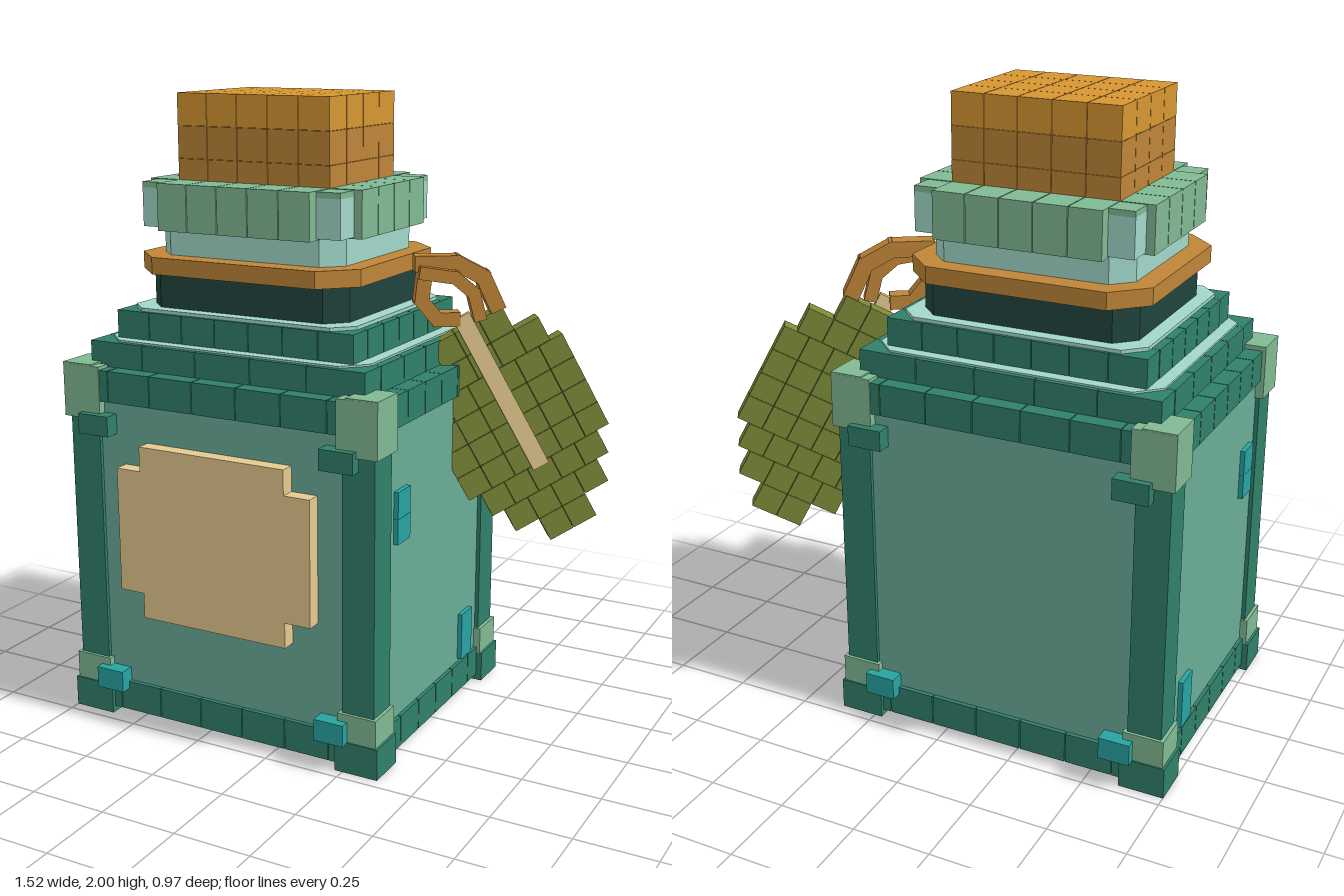
import * as THREE from 'three';

const colours = {
  glass: 0x6aac97, trim: 0x30806a, cap: 0x80b993, paleGlass: 0xa1d7c9, darkBand: 0x21443e,
  teal: 0x27a4a2, cork: 0xd69631, rope: 0xbf8538, label: 0xe5ca90, leaf: 0x7a8937,
};

export function createModel() {
  const model = new THREE.Group();
  model.name = 'corkedBottle';
  const mats = {};
  for (const [name, color] of Object.entries(colours)) {
    mats[name] = new THREE.MeshStandardMaterial({ color, flatShading: true });
    mats[name].name = name;
  }

  const group = (name, parent = model) => {
    const g = new THREE.Group();
    g.name = name;
    parent.add(g);
    return g;
  };
  // Box given by its minimum and maximum corners
  const box = (parent, name, mat, x0, x1, y0, y1, z0, z1) => {
    const mesh = new THREE.Mesh(new THREE.BoxGeometry(x1 - x0, y1 - y0, z1 - z0), mats[mat]);
    mesh.position.set((x0 + x1) / 2, (y0 + y1) / 2, (z0 + z1) / 2);
    mesh.name = name;
    parent.add(mesh);
    return mesh;
  };
  // Rectangular slab with cut corners
  const slab = (parent, name, mat, hx, hz, cut, y0, y1) => {
    const s = new THREE.Shape([
      [hx - cut, -hz], [hx, cut - hz], [hx, hz - cut], [hx - cut, hz],
      [cut - hx, hz], [-hx, hz - cut], [-hx, cut - hz], [cut - hx, -hz],
    ].map(([x, y]) => new THREE.Vector2(x, y)));
    const geo = new THREE.ExtrudeGeometry(s, { depth: y1 - y0, bevelEnabled: false });
    geo.rotateX(-Math.PI / 2);
    const mesh = new THREE.Mesh(geo, mats[mat]);
    mesh.position.y = y0;
    mesh.name = name;
    parent.add(mesh);
  };
  // Ring of blocks around the bottle
  const blockRing = (parent, name, mat, hx, hz, t, y0, y1, nx, nz) => {
    const g = group(name, parent), gap = 0.0015;
    for (const s of [-1, 1]) {
      for (let i = 0; i < nx; i++) {
        const w = 2 * hx / nx, x = -hx + i * w, z = s * (hz - t / 2);
        box(g, name + 'Block', mat, x + gap, x + w - gap, y0, y1, z - t / 2, z + t / 2);
      }
      for (let i = 0; i < nz; i++) {
        const w = 2 * (hz - t) / nz, z = -hz + t + i * w, x = s * (hx - t / 2);
        box(g, name + 'Block', mat, x - t / 2, x + t / 2, y0, y1, z + gap, z + w - gap);
      }
    }
  };

  const bottle = group('bottle');
  bottle.position.x = -0.191;

  // Body and stepped shoulders
  box(bottle, 'body', 'glass', -0.528, 0.528, 0.03, 1.12, -0.438, 0.438);
  box(bottle, 'bottomPlate', 'paleGlass', -0.5, 0.5, 0.024, 0.032, -0.41, 0.41);
  blockRing(bottle, 'baseTrim', 'trim', 0.54, 0.452, 0.06, 0.02, 0.12, 7, 6);
  blockRing(bottle, 'topTrim', 'trim', 0.543, 0.46, 0.1, 1.06, 1.16, 7, 6);
  blockRing(bottle, 'lowerShoulder', 'trim', 0.487, 0.407, 0.1, 1.15, 1.24, 5, 4);
  slab(bottle, 'lowerShoulderGlass', 'paleGlass', 0.46, 0.39, 0.07, 1.1, 1.246);
  blockRing(bottle, 'upperShoulder', 'trim', 0.42, 0.352, 0.09, 1.245, 1.334, 7, 5);
  slab(bottle, 'upperShoulderGlass', 'paleGlass', 0.394, 0.342, 0.06, 1.2, 1.345);
  slab(bottle, 'neckBand', 'darkBand', 0.348, 0.3, 0.06, 1.345, 1.455);
  slab(bottle, 'neckRope', 'rope', 0.387, 0.345, 0.1, 1.455, 1.508);
  slab(bottle, 'neckGlass', 'paleGlass', 0.323, 0.275, 0.06, 1.508, 1.715);

  // Corner posts, caps, feet and clips
  for (const sx of [-1, 1]) {
    for (const sz of [-1, 1]) {
      const g = group('corner', bottle);
      const corner = (name, mat, ox, oz, w, d, y0, y1) => {
        const x = sx * (ox - w / 2), z = sz * (oz - d / 2);
        box(g, name, mat, x - w / 2, x + w / 2, y0, y1, z - d / 2, z + d / 2);
      };
      corner('post', 'trim', 0.541, 0.45, 0.108, 0.108, 0.05, 1.1);
      corner('foot', 'trim', 0.56, 0.465, 0.145, 0.13, 0, 0.1);
      corner('lowerCap', 'cap', 0.552, 0.46, 0.13, 0.125, 0.1, 0.19);
      corner('upperCap', 'cap', 0.555, 0.463, 0.105, 0.13, 1.0, 1.175);
      corner('upperCapFace', 'cap', 0.555, 0.4635, 0.135, 0.05, 1.0, 1.17);
      corner('upperClip', 'trim', 0.487, 0.487, 0.112, 0.06, 0.955, 1.02);
      corner('lowerClip', 'teal', 0.455, 0.487, 0.1, 0.06, 0.095, 0.165);
    }
    // Side windows
    for (const [y0, y1, z0, z1] of [[0.695, 0.775, 0.215, 0.3], [0.776, 0.86, 0.215, 0.3], [0.13, 0.29, -0.28, -0.197]]) {
      const x = sx * 0.535;
      box(bottle, 'sideWindow', 'teal', x - 0.008, x + 0.008, y0, y1, z0, z1);
    }
  }

  // Front label of planks with stepped corners
  const label = group('label', bottle);
  const xs = [-0.345, -0.259, -0.174, 0.001, 0.257, 0.345];
  const ys = [0.375, 0.457, 0.62, 0.78, 0.86, 0.94];
  for (let i = 0; i < 5; i++) {
    for (let j = 0; j < 5; j++) {
      if ((i === 0 || i === 4) && (j === 0 || j === 4)) continue;
      box(label, 'labelPlank', 'label', xs[i], xs[i + 1], ys[j], ys[j + 1], 0.43, 0.486);
    }
  }

  // Cork built of blocks
  const cork = group('cork', bottle), cell = 0.107;
  for (let i = 0; i < 5; i++) {
    for (let k = 0; k < 4; k++) {
      for (let j = 0; j < 3; j++) {
        const x = (i - 2.5) * cell, z = (k - 2) * cell, y = 1.7 + j * 0.1;
        box(cork, 'corkBlock', j === 2 ? 'cork' : 'rope',
          x + 0.001, x + cell - 0.001, y + 0.001, y + 0.1, z + 0.001, z + cell - 0.001);
      }
    }
  }

  // Lip blocks around the cork, with pale recessed corners under small lids
  const lip = group('lip', bottle);
  for (const s of [-1, 1]) {
    for (let i = 0; i < 5; i++) {
      const x = (i - 2.5) * cell, z = s * 0.276;
      box(lip, 'lipBlock', 'cap', x + 0.0015, x + cell - 0.0015, 1.59, 1.735, z - 0.06, z + 0.06);
    }
    for (let k = 0; k < 4; k++) {
      const z = (k - 2) * cell, x = s * 0.321;
      box(lip, 'lipBlock', 'cap', x - 0.053, x + 0.053, 1.59, 1.735, z + 0.0015, z + cell - 0.0015);
    }
    for (const t of [-1, 1]) {
      const x = s * 0.297, z = t * 0.246;
      box(lip, 'lipCorner', 'paleGlass', x - 0.05, x + 0.05, 1.595, 1.715, z - 0.05, z + 0.05);
      box(lip, 'lipCornerLid', 'cap', x - 0.05, x + 0.05, 1.715, 1.733, z - 0.05, z + 0.05);
    }
  }

  // Hanging leaf tag on a rope loop
  const tag = group('tag');
  tag.position.set(0.34, 1.31, -0.16);
  tag.rotation.y = 0.589;
  const leaf = group('leaf', tag), c = 0.086;
  leaf.rotation.z = 0.5;
  [3, 5, 6, 6, 6, 6, 5, 4, 2].forEach((n, row) => {
    for (let i = 0; i < n; i++) {
      const x = (i - n / 2) * c, y = -0.03 - row * c;
      box(leaf, 'leafBlock', 'leaf', x + 0.001, x + c - 0.001, y - c + 0.001, y - 0.001, -0.029, 0.029);
    }
  });
  box(leaf, 'leafVein', 'label', -0.028, 0.028, -0.555, 0.01, 0.025, 0.045);

  // Rope links: chunky straight pieces along bent paths
  const strand = (points, width, depth, z) => {
    for (let i = 0; i + 1 < points.length; i++) {
      const [ax, ay] = points[i], [bx, by] = points[i + 1];
      const l = Math.hypot(bx - ax, by - ay) / 2 + 0.012;
      const link = box(tag, 'ropeLink', 'rope', -l, l, -width / 2, width / 2, -depth / 2, depth / 2);
      link.position.set((ax + bx) / 2, (ay + by) / 2, z);
      link.rotation.z = Math.atan2(by - ay, bx - ax);
    }
  };
  strand([[-0.14, 0.175], [-0.02, 0.175], [0.065, 0.13], [0.11, 0.035]], 0.05, 0.06, 0.01);
  strand([[-0.13, 0.15], [-0.03, 0.135], [0.03, 0.085], [0.05, 0.01]], 0.04, 0.05, 0.045);
  strand([[-0.12, 0.15], [-0.13, 0.06], [-0.08, 0], [-0.02, 0]], 0.045, 0.055, 0.02);

  return model;
}
